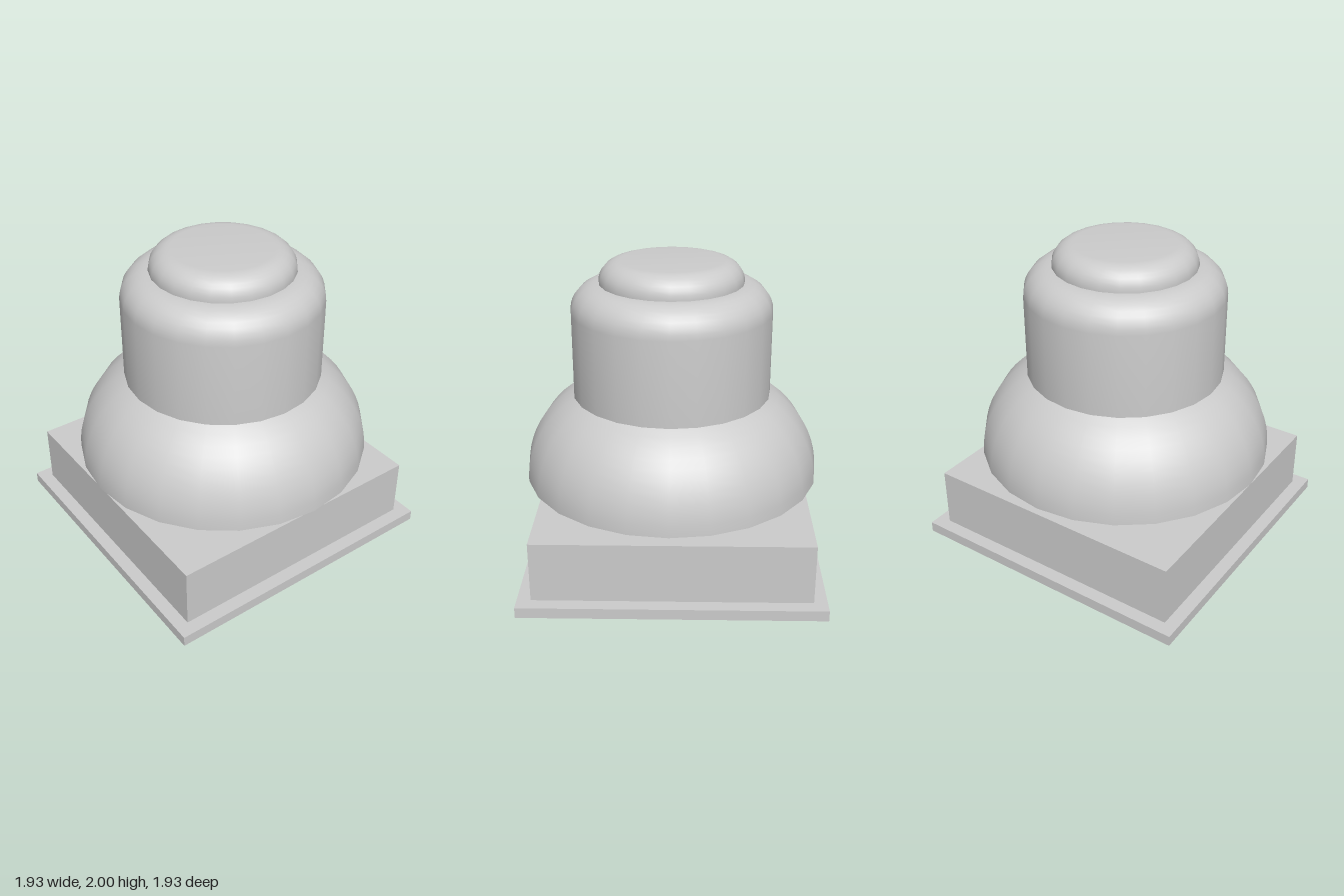
import * as THREE from 'three';
import { toCreasedNormals } from 'three/addons/utils/BufferGeometryUtils.js';

const SIDES = 24;

export function createModel() {
  const model = new THREE.Group();
  model.name = 'roofVent';
  const grey = new THREE.MeshStandardMaterial({ color: 0xcccccc });
  const greyOpen = new THREE.MeshStandardMaterial({ color: 0xcccccc, side: THREE.DoubleSide });

  const add = (name, geometry, material = grey) => {
    const mesh = new THREE.Mesh(geometry, material);
    mesh.name = name;
    model.add(mesh);
    return mesh;
  };

  // square slab standing from y0 to y1
  const slab = (name, size, y0, y1, offset) =>
    add(name, new THREE.BoxGeometry(size, y1 - y0, size))
      .position.set(-offset, (y0 + y1) / 2, offset);

  // turned part: profile runs from the bottom up
  const turned = (name, points, material) =>
    add(name, toCreasedNormals(new THREE.LatheGeometry(points, SIDES), 0.5), material)
      .position.set(0.004, 0, -0.004);

  // quarter-round (or part of it) starting at its vertical side
  const arc = (cx, cy, rx, ry, end = Math.PI / 2, steps = 8) =>
    Array.from({ length: steps + 1 }, (_, i) => {
      const a = (end * i) / steps;
      return new THREE.Vector2(cx + rx * Math.cos(a), cy + ry * Math.sin(a));
    });
  const v = (x, y) => new THREE.Vector2(x, y);

  // square base
  slab('baseFlange', 1.915, 0, 0.07, 0.013);
  slab('baseBox', 1.743, 0.07, 0.465, 0.014);

  // neck running up inside the hood
  turned('neck', [v(0.554, 0.465), v(0.554, 1.13)], greyOpen);

  // open flared hood
  turned('hood', arc(0.32, 0.582, 0.64, 0.64, Math.PI / 3, 10), greyOpen);

  // drum with rounded shoulder
  turned('drum', [v(0, 1.13), v(0.64, 1.13), ...arc(0.455, 1.68, 0.185, 0.182), v(0, 1.862)]);

  // rounded top cap
  turned('cap', [v(0, 1.855), v(0.457, 1.855), ...arc(0.32, 1.87, 0.137, 0.13), v(0, 2)]);

  return model;
}
